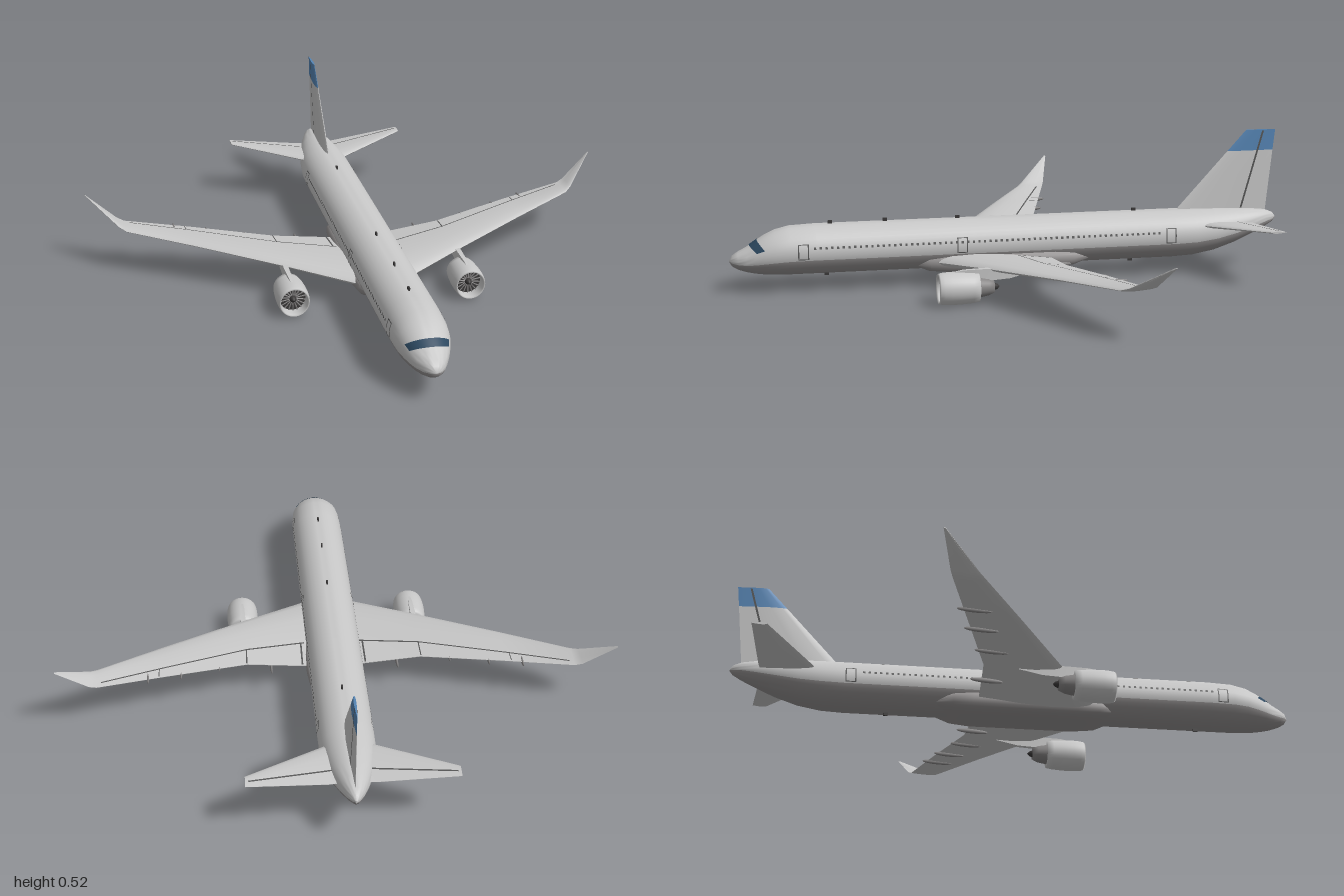
import * as THREE from 'three';
import { mergeGeometries, toCreasedNormals } from 'three/addons/utils/BufferGeometryUtils.js';

const mat = (name, color, side = THREE.FrontSide) => {
  const m = new THREE.MeshStandardMaterial({ color, side });
  m.name = name;
  return m;
};
const lerp = THREE.MathUtils.lerp;
const rad = THREE.MathUtils.degToRad;
const V = (x, y, z) => new THREE.Vector3(x, y, z);

// Closed skin through equal-length rings, capped at both ends and turned outward.
// Faces run column by column so geometry groups can colour strips along the length.
function loft(rings, crease = 0.7) {
  const n = rings[0].length, m = rings.length, pts = rings.flat(), idx = [];
  for (let j = 0; j < n; j++) for (let i = 0; i < m - 1; i++) {
    const k = (j + 1) % n, a = i * n + j, b = i * n + k, c = a + n, d = b + n;
    idx.push(a, b, d, a, d, c);
  }
  for (let j = 1; j < n - 1; j++) {
    const e = (m - 1) * n;
    idx.push(0, j + 1, j, e, e + j, e + j + 1);
  }
  let volume = 0;
  for (let i = 0; i < idx.length; i += 3)
    volume += pts[idx[i]].dot(pts[idx[i + 1]].clone().cross(pts[idx[i + 2]]));
  if (volume < 0) for (let i = 0; i < idx.length; i += 3) [idx[i], idx[i + 1]] = [idx[i + 1], idx[i]];
  const g = new THREE.BufferGeometry().setFromPoints(pts);
  g.setIndex(idx);
  return toCreasedNormals(g, crease);
}

// Open grid of points, used for thin painted details.
function sheet(rows) {
  const n = rows[0].length, idx = [];
  for (let i = 0; i < rows.length - 1; i++) for (let j = 0; j < n - 1; j++) {
    const a = i * n + j;
    idx.push(a, a + 1, a + n + 1, a, a + n + 1, a + n);
  }
  const g = new THREE.BufferGeometry().setFromPoints(rows.flat());
  g.setIndex(idx);
  g.computeVertexNormals();
  return g;
}

// Fuselage sections: z, bottom, top, half width
const BODY = [
  [1, .108, .112, .002], [.99, .092, .13, .02], [.97, .08, .143, .036], [.94, .07, .158, .052],
  [.91, .064, .178, .066], [.88, .06, .197, .077], [.84, .057, .216, .088], [.79, .056, .228, .093],
  [.7, .056, .232, .095], [-.6, .056, .232, .095], [-.68, .06, .232, .094], [-.76, .074, .231, .085],
  [-.84, .1, .228, .07], [-.91, .13, .223, .049], [-.96, .153, .217, .03], [-.99, .17, .205, .013],
  [-1, .183, .192, .003],
];
function bodyPoint(z, deg, lift = 0) {
  let i = 0;
  while (i < BODY.length - 2 && z < BODY[i + 1][0]) i++;
  const A = BODY[i], B = BODY[i + 1], t = (z - A[0]) / (B[0] - A[0]);
  const [lo, hi, rx] = [1, 2, 3].map(k => lerp(A[k], B[k], t)), a = rad(deg);
  return V((rx + lift) * Math.cos(a), (lo + hi) / 2 + ((hi - lo) / 2 + lift) * Math.sin(a), z);
}
const bodyPatch = (z0, z1, a0, a1) =>
  sheet([z0, z1].map(z => [0, 1, 2].map(j => bodyPoint(z, lerp(a0, a1, j / 2), .0015))));

// Aerofoil surfaces. Stations: span, offset, leading z, trailing z, thickness
const FOIL = [[0, 0], [.03, .4], [.12, .8], [.35, 1], [.65, .68], [1, .05]];
const WING = [[.04, .088, .305, -.13, .056], [.1, .094, .268, -.132, .05], [.31, .118, .136, -.14, .032],
  [.6, .145, -.046, -.228, .02], [.835, .163, -.193, -.298, .011], [.86, .174, -.216, -.307, .009],
  [.97, .262, -.334, -.341, .004]];
const STAB = [[.02, .178, -.66, -.89, .024], [.08, .181, -.705, -.9, .022], [.345, .208, -.872, -.924, .008]];
const FIN = [[.19, 0, -.585, -.96, .026], [.23, 0, -.622, -.964, .024], [.44, 0, -.813, -.985, .013],
  [.516, 0, -.882, -.993, .009]];
const wingMap = side => (s, o, z) => V(side * s, o, z);
const finMap = (s, o, z) => V(o, s, z);

const foilLoft = (stations, map) => loft(stations.map(([s, o, le, te, t]) => [
  ...FOIL.map(([u, h]) => map(s, o + h * t / 2, lerp(le, te, u))),
  ...FOIL.slice(1).reverse().map(([u, h]) => map(s, o - h * t / 2, lerp(le, te, u))),
]));
function foilPoint(stations, map, s, z, face) {
  let i = 0;
  while (i < stations.length - 2 && s > stations[i + 1][0]) i++;
  const A = stations[i], B = stations[i + 1], f = (s - A[0]) / (B[0] - A[0]);
  const [o, le, te, t] = [1, 2, 3, 4].map(k => lerp(A[k], B[k], f));
  const u = THREE.MathUtils.clamp((z - le) / (te - le), 0, 1);
  let k = 0;
  while (k < FOIL.length - 2 && u > FOIL[k + 1][0]) k++;
  const P = FOIL[k], Q = FOIL[k + 1], h = lerp(P[1], Q[1], (u - P[0]) / (Q[0] - P[0]));
  return map(s, o + face * (h * t / 2 + .0012), z);
}
// Narrow seam line laid on an aerofoil surface between two (span, z) points
function seam(stations, map, [s0, z0], [s1, z1], face = 1, w = .006) {
  const d = Math.hypot(s1 - s0, z1 - z0), ns = -(z1 - z0) / d * w / 2, nz = (s1 - s0) / d * w / 2;
  return sheet([-1, 1].map(e => Array.from({ length: 13 }, (_, i) =>
    foilPoint(stations, map, lerp(s0, s1, i / 12) + e * ns, lerp(z0, z1, i / 12) + e * nz, face))));
}

export function createModel() {
  const model = new THREE.Group();
  const grey = mat('light grey paint', 0xc8c8c8), belly = mat('belly grey', 0x969393);
  const blue = mat('tail blue', 0x5585b5), glass = mat('dark blue glass', 0x2c4860, THREE.DoubleSide);
  const line = mat('seam grey', 0x565656, THREE.DoubleSide), dark = mat('engine dark', 0x3a3838);
  const metal = mat('metal grey', 0x858383);
  const add = (name, geo, material, parent = model) => {
    const mesh = new THREE.Mesh(geo, material);
    mesh.name = name;
    parent.add(mesh);
    return mesh;
  };

  // Fuselage: the first 15 of 36 strips are the belly
  const body = loft(BODY.map(([z]) => Array.from({ length: 36 }, (_, j) => bodyPoint(z, 195 + j * 10))), .6);
  const strip = (BODY.length - 1) * 6;
  body.addGroup(0, 15 * strip, 0);
  body.addGroup(15 * strip, Infinity, 1);
  add('fuselage', body, [belly, grey]);

  // Wing-to-body fairing: z, half width, half height
  const fairing = [[.35, .06, .015], [.3, .09, .034], [.22, .1, .041], [-.15, .1, .041], [-.22, .094, .034], [-.29, .06, .012]];
  add('bellyFairing', loft(fairing.map(([z, rx, ry]) => Array.from({ length: 24 }, (_, j) => {
    const c = Math.cos(j * Math.PI / 12), s = Math.sin(j * Math.PI / 12);
    return V(rx * Math.sign(c) * Math.abs(c) ** .7, .086 + ry * Math.sign(s) * Math.abs(s) ** .7, z);
  }))), belly);

  // Cockpit glazing wrapped around the nose
  add('windshield', sheet([0, 1, 2, 3].map(r => Array.from({ length: 25 }, (_, j) => {
    const k = j / 12 - 1;
    return bodyPoint(.93 - .025 * k * k - r * .009, 90 + 66 * k, .002);
  }))), glass);

  // Cabin windows and door outlines on both sides
  const windows = [], doors = [];
  for (const a of [t => t, t => 180 - t]) {
    for (let z = .71; z > -.55; z -= .02) windows.push(bodyPatch(z, z - .008, a(10.5), a(16)));
    for (const z of [.765, .205, -.56]) {
      for (const e of [z, z - .034]) doors.push(bodyPatch(e, e - .004, a(-12), a(24)));
      for (const t of [-12, 22]) doors.push(bodyPatch(z, z - .034, a(t), a(t + 2)));
    }
  }
  add('cabinWindows', mergeGeometries(windows), line);
  add('doorOutlines', mergeGeometries(doors), line);

  // Blade antennas along the spine and keel
  for (const [y, z] of [[.235, .645], [.236, .45], [.235, .19], [.235, -.46], [.052, .66], [.052, -.45]])
    add('antenna', new THREE.BoxGeometry(.006, .014, .016).translate(0, y, z), dark);

  // Fin with blue tip and rudder seams
  add('fin', foilLoft(FIN.slice(0, 3), finMap), grey);
  add('finTip', foilLoft(FIN.slice(2), finMap), blue);
  add('rudderSeams', mergeGeometries([1, -1].map(f =>
    seam(FIN, finMap, [.228, -.866], [.512, -.945], f, .007))), line);

  for (const side of [1, -1]) {
    const map = wingMap(side), word = side > 0 ? 'left' : 'right';
    const half = new THREE.Group();
    half.name = word + 'Side';
    model.add(half);

    // Wing with raked upturned tip, flap and aileron seams
    add('wing', foilLoft(WING, map), grey, half);
    add('flapSeams', mergeGeometries([
      seam(WING, map, [.1, -.01], [.31, -.062]), seam(WING, map, [.31, -.062], [.82, -.272], 1, .005),
      seam(WING, map, [.31, -.062], [.312, -.136], 1, .004), seam(WING, map, [.62, -.19], [.622, -.23], 1, .003),
      seam(WING, map, [.112, -.015], [.113, -.128], 1, .006),
    ]), line, half);

    // Flap track fairings under the trailing edge
    for (const [x, y, z] of [[.225, .098, -.12], [.41, .12, -.125], [.545, .132, -.175], [.66, .144, -.21]])
      add('flapTrackFairing', new THREE.SphereGeometry(1, 10, 8).scale(.005, .009, .06)
        .rotateX(.06).translate(side * x, y, z), metal, half);

    // Tailplane with elevator seam
    add('tailplane', foilLoft(STAB, map), grey, half);
    add('elevatorSeam', seam(STAB, map, [.065, -.838], [.335, -.9], 1, .006), line, half);

    // Engine, axis along z
    const engine = new THREE.Group();
    engine.name = 'engine';
    engine.position.set(side * .315, .057, 0);
    half.add(engine);
    const spin = pts => new THREE.LatheGeometry(pts.map(p => new THREE.Vector2(...p)), 32).rotateX(Math.PI / 2);
    add('nacelle', spin([[.036, .168], [.05, .168], [.0535, .19], [.0565, .23], [.057, .265], [.0555, .29], [.053, .304],
      [.05, .309], [.0475, .303], [.046, .285], [.046, .24]]), grey, engine).material = mat('nacelle grey', 0xc8c8c8, THREE.DoubleSide);
    engine.children[0].material = nacelleMaterial(model, engine.children[0].material);
    add('coreCowl', spin([[0, .114], [.021, .115], [.03, .135], [.037, .172]]), metal, engine);
    add('exhaustPlug', spin([[0, .095], [.009, .104], [.015, .12]]), dark, engine);
    add('fanDisc', new THREE.CircleGeometry(.0465, 32).translate(0, 0, .262), dark, engine);
    for (let i = 0; i < 18; i++)
      add('fanBlade', new THREE.BoxGeometry(.0035, .034, .004).rotateY(.5).translate(0, .028, .268)
        .rotateZ(i * Math.PI / 9), metal, engine);
    add('spinner', spin([[.013, .265], [.011, .277], [.006, .287], [0, .291]]), dark, engine);

    // Pylon: z, bottom, top, half width
    const pylon = [[.265, .105, .112, .003], [.22, .1, .12, .007], [.14, .08, .122, .009], [.06, .085, .12, .008], [-.02, .104, .115, .003]];
    add('pylon', loft(pylon.map(([z, lo, hi, w]) =>
      [[-w, lo], [w, lo], [w, hi], [-w, hi]].map(([x, y]) => V(side * .315 + x, y, z)))), grey, half);
  }
  return model;
}

// Both nacelles share one two-sided paint
function nacelleMaterial(model, fallback) {
  return model.userData.nacellePaint ??= fallback;
}
